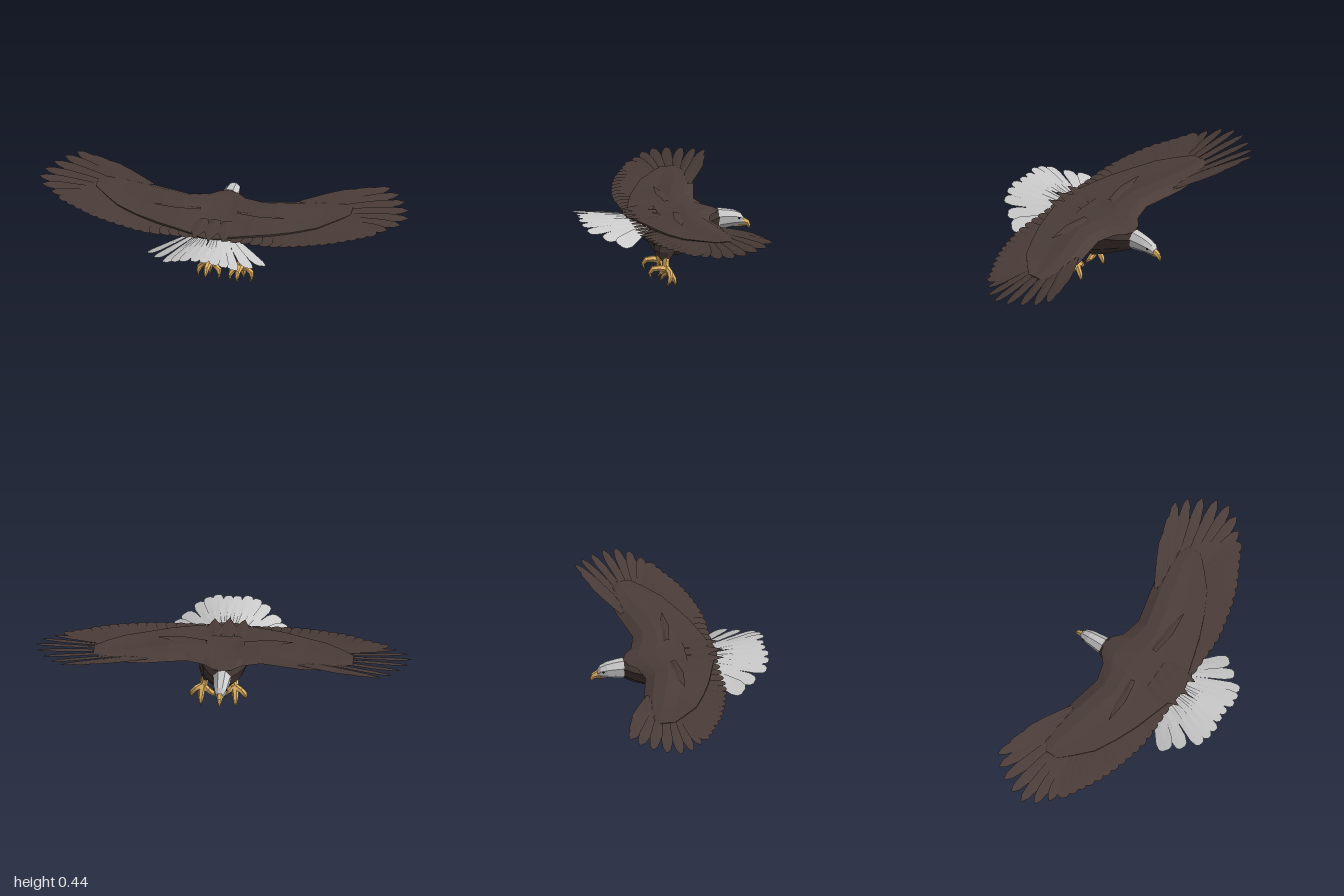
import * as THREE from 'three';

const mat = (color, side = THREE.FrontSide) => new THREE.MeshStandardMaterial({ color, side, flatShading: true });
const BROWN = mat(0x4b3d39), DARK = mat(0x3f3330), QUILL = mat(0x4a3c38, THREE.DoubleSide);
const WHITE = mat(0xcccccc), WHITE_QUILL = mat(0xcccccc, THREE.DoubleSide);
const YELLOW = mat(0xe6b566), CLAW = mat(0xc59a50), BLACK = mat(0x111111);
const V = (x, y, z) => new THREE.Vector3(x, y, z);

// Feather outlines: [fraction of length, fraction of half width]
const FINGER = [[0, 0.5], [0.5, 0.95], [0.78, 1], [0.93, 0.7], [1, 0.12]];
const ROUNDED = [[0, 0.45], [0.5, 0.85], [0.85, 1], [0.96, 0.7], [1, 0.25]];
const BLUNT = [[0, 0.25], [0.55, 0.8], [0.85, 1], [0.96, 0.8], [1, 0.4]];
const POINTED = [[0, 0.6], [0.5, 1], [1, 0.05]];

function mesh(name, geometry, material) {
  const m = new THREE.Mesh(geometry, material);
  m.name = name;
  return m;
}

function build(points, index) {
  const g = new THREE.BufferGeometry().setFromPoints(points);
  g.setIndex(index);
  g.computeVertexNormals();
  return g;
}

// Skin a list of rings (each counter-clockwise about the travel direction), capped at both ends
function loft(rings) {
  const n = rings[0].length, pts = rings.flat(), idx = [];
  for (let i = 0; i < rings.length - 1; i++) {
    for (let j = 0; j < n; j++) {
      const a = i * n + j, b = i * n + (j + 1) % n;
      idx.push(a, b, b + n, a, b + n, a + n);
    }
  }
  const last = (rings.length - 1) * n;
  for (let j = 1; j < n - 1; j++) idx.push(0, j + 1, j, last, last + j, last + j + 1);
  return build(pts, idx);
}

// Rounded cross-sections along z: [z, top, bottom, halfWidth, belly shift]
function trunk(sections, sides, taper) {
  return loft(sections.map(([z, top, bottom, w, shift = 0]) =>
    Array.from({ length: sides }, (_, j) => {
      const a = ((j + 0.5) / sides) * Math.PI * 2;
      const s = Math.sin(a) / Math.cos(Math.PI / sides), narrow = s < 0 ? 1 + taper * s : 1;
      return V(w * narrow * Math.cos(a) + shift * Math.max(0, -s), (top + bottom) / 2 + s * (top - bottom) / 2, z);
    })));
}

// Tapered limb through points, with a radius at each; flat scales its width in x
function limb(path, radii, sides = 6, flat = 1) {
  return loft(path.map((p, i) => {
    const t = path[Math.min(i + 1, path.length - 1)].clone().sub(path[Math.max(i - 1, 0)]).normalize();
    const u = V(1, 0, 0).cross(t).normalize();
    const v = t.clone().cross(u);
    return Array.from({ length: sides }, (_, j) => {
      const a = ((j + 0.5) / sides) * Math.PI * 2;
      return p.clone().addScaledVector(u, radii[i] * Math.cos(a)).addScaledVector(v, radii[i] * flat * Math.sin(a));
    });
  }));
}

// Thin blade with a raised shaft; tilt rolls it so neighbours overlap
function feather(root, tip, half, outline, tilt = 0) {
  const dir = tip.clone().sub(root);
  const side = dir.clone().cross(V(0, 1, 0)).normalize();
  side.y += tilt;
  const pts = [], idx = [];
  outline.forEach(([t, w], i) => {
    const c = root.clone().addScaledVector(dir, t);
    pts.push(c.clone().addScaledVector(side, -half * w), c.clone().add(V(0, 0.005 * (1 - t), 0)), c.clone().addScaledVector(side, half * w));
    if (i === 0) return;
    for (let k = 0; k < 2; k++) {
      const a = (i - 1) * 3 + k;
      idx.push(a, a + 1, a + 4, a, a + 4, a + 3);
    }
  });
  return build(pts, idx);
}

function wing(name) {
  const g = new THREE.Group();
  g.name = name;

  // Arm and coverts: [x, leading z, trailing z, y, thickness]
  const arm = [
    [0, -0.295, 0.205, 0.375, 0.024], [0.05, -0.285, 0.195, 0.375, 0.026], [0.1, -0.24, 0.17, 0.377, 0.032],
    [0.2, -0.214, 0.14, 0.381, 0.04], [0.3, -0.236, 0.11, 0.383, 0.042], [0.42, -0.262, 0.06, 0.384, 0.034],
    [0.54, -0.275, 0, 0.392, 0.024], [0.63, -0.26, -0.08, 0.403, 0.014], [0.69, -0.22, -0.14, 0.409, 0.004],
  ];
  g.add(mesh('wingArm', loft(arm.map(([x, l, t, y, h]) => {
    const at = (f, k) => V(x, y + k * h, l + (t - l) * f);
    return [at(0, -0.05), at(0.15, 0.55), at(0.35, 0.7), at(0.6, 0.3), at(1, 0.05), at(1, -0.2), at(0.55, -0.45), at(0.2, -0.65)];
  })), BROWN));

  // Spread finger feathers
  const tips = [[0.69, 0.425, -0.36], [0.775, 0.432, -0.39], [0.85, 0.437, -0.408], [0.905, 0.43, -0.365], [0.95, 0.425, -0.305],
    [0.985, 0.42, -0.235], [1, 0.414, -0.165], [0.97, 0.408, -0.1], [0.91, 0.401, -0.045]];
  tips.forEach(([x, y, z], i) => {
    const f = i / (tips.length - 1);
    const root = V(0.4 + 0.16 * f, 0.393 - 0.004 * f, -0.23 + 0.13 * f);
    g.add(mesh('primaryFeather', feather(root, V(x, y, z), 0.029, FINGER, -0.3), QUILL));
  });

  // Trailing feathers
  const edge = new THREE.CatmullRomCurve3([V(0.86, 0.395, 0), V(0.78, 0.388, 0.045), V(0.65, 0.381, 0.115), V(0.5, 0.373, 0.165),
    V(0.35, 0.366, 0.195), V(0.2, 0.366, 0.195), V(0.09, 0.367, 0.195)]);
  const roots = new THREE.CatmullRomCurve3([V(0.57, 0.39, -0.1), V(0.45, 0.383, -0.06), V(0.3, 0.377, -0.03), V(0.06, 0.373, 0)]);
  const count = 16;
  for (let i = 0; i < count; i++) {
    const t = i / (count - 1);
    g.add(mesh('secondaryFeather', feather(roots.getPoint(t), edge.getPointAt(t), 0.038, ROUNDED, -0.15), QUILL));
  }

  // Low ridge of feathers over the shoulder
  g.add(mesh('shoulderFeather', feather(V(0.1, 0.401, -0.05), V(0.36, 0.408, -0.03), 0.026, POINTED, 0.15), QUILL));
  return g;
}

function leg(name, x, s) {
  const g = new THREE.Group();
  g.name = name;
  const P = (dx, y, z) => V(x + s * dx, y, z);
  g.add(mesh('thigh', limb([P(-0.015, 0.275, -0.025), P(-0.005, 0.245, -0.008), P(0, 0.195, 0.012), P(0, 0.14, 0.003)],
    [0.05, 0.072, 0.058, 0.02], 7, 0.52), BROWN));
  g.add(mesh('shank', limb([P(0, 0.17, 0.005), P(0.005, 0.125, 0.008), P(0.015, 0.085, 0.005)], [0.018, 0.019, 0.023]), YELLOW));

  // Three forward toes and a raised hind toe, each ending in a hooked claw
  const toes = [
    [[0.015, 0.1, 0], [0.02, 0.072, -0.02], [0.022, 0.045, -0.034], [0.022, 0.024, -0.042], [0.022, 0, -0.035]],
    [[0.015, 0.1, 0], [0.048, 0.088, -0.008], [0.07, 0.064, -0.005], [0.076, 0.042, 0.005], [0.068, 0.018, 0.02]],
    [[0.015, 0.1, 0], [-0.013, 0.083, -0.008], [-0.036, 0.06, 0], [-0.042, 0.042, 0.014], [-0.036, 0.018, 0.03]],
    [[0.015, 0.1, 0.005], [0.015, 0.108, 0.045], [0.015, 0.106, 0.08], [0.015, 0.083, 0.097], [0.015, 0.045, 0.083]],
  ];
  toes.forEach((pts) => {
    const p = pts.map((q) => P(...q));
    g.add(mesh('toe', limb(p.slice(0, 4), [0.02, 0.017, 0.015, 0.009]), YELLOW));
    g.add(mesh('claw', limb(p.slice(3), [0.009, 0.001], 5), CLAW));
  });
  return g;
}

export function createModel() {
  const model = new THREE.Group();

  model.add(mesh('body', trunk([
    [-0.31, 0.372, 0.27, 0.046], [-0.25, 0.374, 0.238, 0.085, 0.005], [-0.15, 0.375, 0.19, 0.125, 0.03],
    [-0.07, 0.375, 0.153, 0.14, 0.042], [0.02, 0.374, 0.19, 0.145, 0.04], [0.1, 0.372, 0.245, 0.13, 0.02],
    [0.19, 0.366, 0.285, 0.095], [0.22, 0.36, 0.33, 0.03]], 8, 0.45), DARK));

  // Head, tapering from the neck to the brow
  model.add(mesh('head', trunk([
    [-0.44, 0.322, 0.285, 0.02], [-0.425, 0.346, 0.283, 0.031], [-0.39, 0.362, 0.279, 0.04],
    [-0.35, 0.37, 0.273, 0.044], [-0.3, 0.377, 0.266, 0.05]], 8, 0.2), WHITE));
  model.add(mesh('upperBeak', limb([V(0, 0.3, -0.41), V(0, 0.3, -0.44), V(0, 0.291, -0.46), V(0, 0.274, -0.469), V(0, 0.253, -0.473)],
    [0.022, 0.022, 0.017, 0.011, 0.001], 6, 0.8), YELLOW));
  model.add(mesh('lowerBeak', limb([V(0, 0.284, -0.39), V(0, 0.28, -0.43), V(0, 0.276, -0.452)], [0.012, 0.011, 0.004], 6), YELLOW));
  for (const s of [-1, 1]) {
    const eye = mesh('eye', new THREE.IcosahedronGeometry(0.006, 1), BLACK);
    eye.position.set(s * 0.031, 0.327, -0.411);
    model.add(eye);
  }

  const leftWing = wing('leftWing'), rightWing = wing('rightWing');
  rightWing.scale.x = -1;
  model.add(leftWing, rightWing);

  // Arched tail fan, lowest at its outer feathers: [tip x, y, z, half width]
  const tail = new THREE.Group();
  tail.name = 'tail';
  const fan = [[0.025, 0.387, 0.46, 0.028], [0.085, 0.385, 0.468, 0.03], [0.135, 0.372, 0.46, 0.03],
    [0.185, 0.35, 0.44, 0.034], [0.25, 0.325, 0.365, 0.038], [0.305, 0.304, 0.295, 0.044]];
  for (const s of [-1, 1]) {
    fan.forEach(([x, y, z, half], i) => tail.add(mesh('tailFeather',
      feather(V(s * (0.015 + 0.012 * i), 0.365 - 0.004 * i, 0.12 - 0.01 * i), V(s * x, y, z), half, BLUNT, s * (0.05 + 0.08 * i)), WHITE_QUILL)));
  }
  model.add(tail);

  // Pointed rump feathers covering the tail root
  [[0, 0.235], [0.08, 0.225], [-0.08, 0.225]].forEach(([x, z]) =>
    model.add(mesh('rumpFeather', feather(V(x * 0.8, 0.388, 0.03), V(x, 0.382, z), 0.045, POINTED), QUILL)));

  model.add(leg('leftLeg', 0.112, 1), leg('rightLeg', -0.028, -1));
  return model;
}
